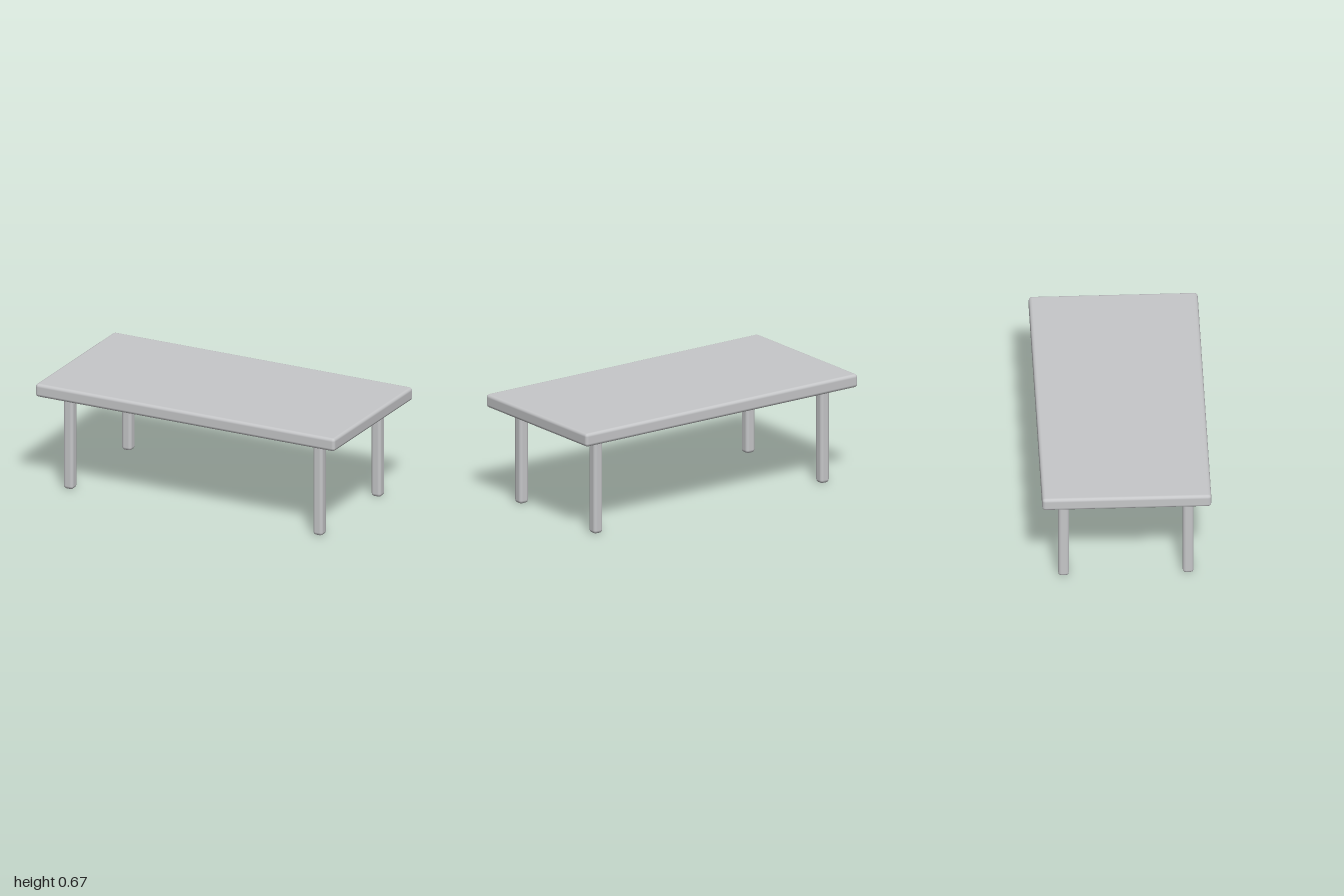
import * as THREE from 'three';
import { RoundedBoxGeometry } from 'three/addons/geometries/RoundedBoxGeometry.js';

export function createModel() {
  const table = new THREE.Group();
  table.name = 'table';

  const grey = new THREE.MeshStandardMaterial({ color: 0xc6c7c9 });
  grey.name = 'light grey';

  // Tabletop: a slab with softly rounded edges
  const topHeight = 0.67, topThickness = 0.082;
  const tabletop = new THREE.Mesh(
    new RoundedBoxGeometry(2, topThickness, 1, 2, 0.02), grey);
  tabletop.name = 'tabletop';
  tabletop.position.y = topHeight - topThickness / 2;
  table.add(tabletop);

  // Four square legs with rounded edges, set in from the corners
  const legHeight = 0.595, legWidth = 0.065;
  const legGeometry = new RoundedBoxGeometry(legWidth, legHeight, legWidth, 2, 0.02);
  for (const [side, x] of [['Left', 0.833], ['Right', -0.833]]) {
    for (const [end, z] of [['front', 0.368], ['back', -0.368]]) {
      const leg = new THREE.Mesh(legGeometry, grey);
      leg.name = `${end}${side}Leg`;
      leg.position.set(x, legHeight / 2, z);
      table.add(leg);
    }
  }

  return table;
}
